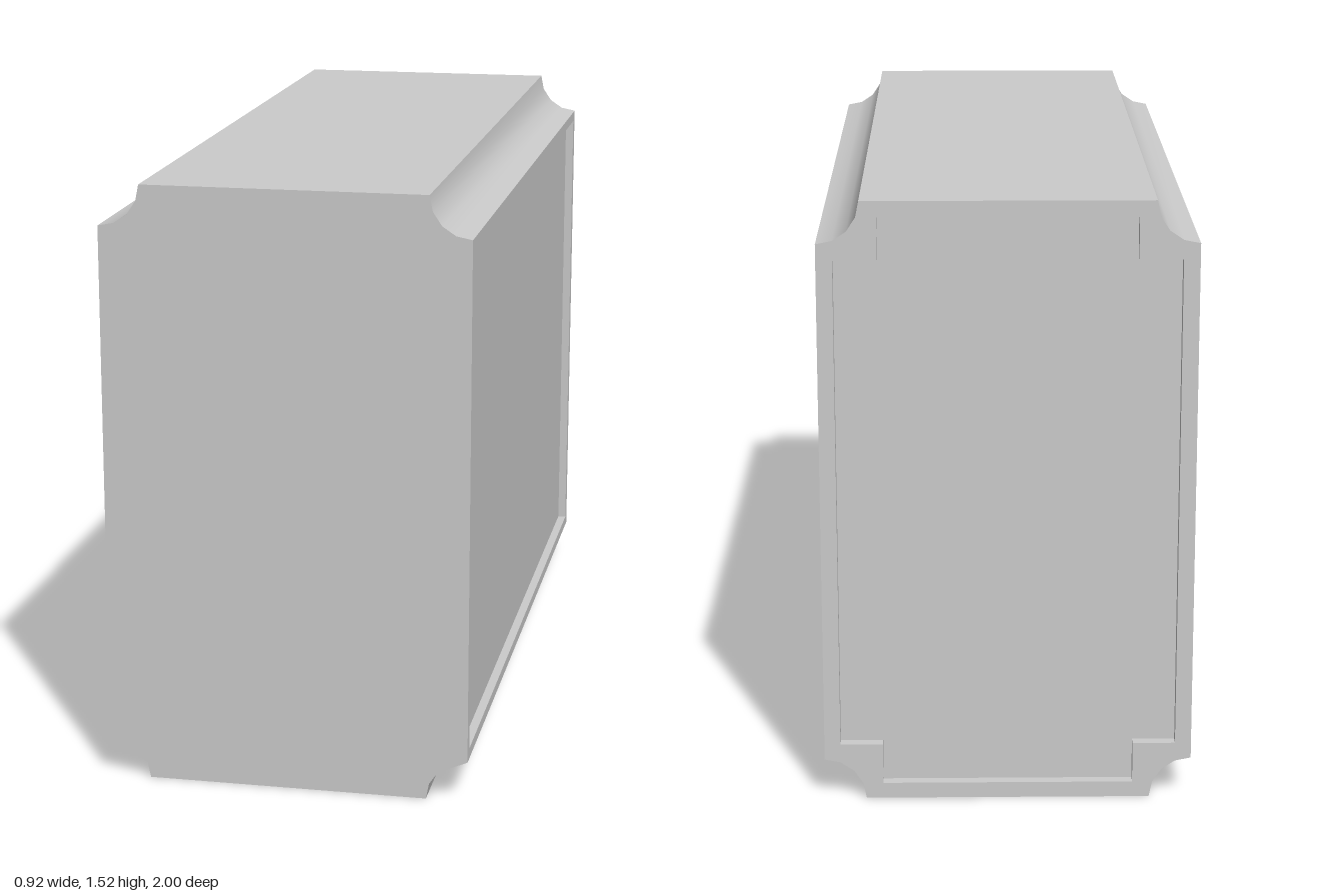
import * as THREE from 'three';

const W = 0.458, H = 1.525, L = 1, R = 0.104; // half width, height, half length, cove radius
const material = new THREE.MeshStandardMaterial({ color: 0xcccccc });

const centres = [[W, 0], [W, H], [-W, H], [-W, 0]]; // counter-clockwise from bottom right

// Concave quarter arc at corner i, sampled at fractions ts
function cove(i, ts) {
  const [cx, cy] = centres[i];
  return ts.map((t) => {
    const a = Math.PI - i * 1.5 * Math.PI - t * Math.PI / 2;
    return new THREE.Vector2(cx + R * Math.cos(a), cy + R * Math.sin(a));
  });
}

// Strip that carries a 2D path from z0 to z1
function strip(path, z0, z1, smooth) {
  const pos = [], index = [];
  path.forEach((p, i) => {
    pos.push(p.x, p.y, z0, p.x, p.y, z1);
    const k = i * 2;
    if (i < path.length - 1) index.push(k, k + 2, k + 3, k, k + 3, k + 1);
  });
  let g = new THREE.BufferGeometry();
  g.setAttribute('position', new THREE.Float32BufferAttribute(pos, 3));
  g.setIndex(index);
  if (!smooth) g = g.toNonIndexed();
  g.computeVertexNormals();
  return g;
}

function add(parent, name, geometry, z = 0) {
  const mesh = new THREE.Mesh(geometry, material);
  mesh.name = name;
  mesh.position.z = z;
  parent.add(mesh);
}

// Flat face with a sunken panel, facing local +z
function recessedFace(name, outline, opening, depth) {
  const g = new THREE.Group();
  g.name = name;
  const rim = new THREE.Shape(outline);
  rim.holes.push(new THREE.Path(opening));
  add(g, 'rim', new THREE.ShapeGeometry(rim));
  add(g, 'recessWalls', strip([...opening, opening[0]], 0, -depth, false));
  add(g, 'panel', new THREE.ShapeGeometry(new THREE.Shape(opening)), -depth);
  return g;
}

const rect = (hw, y0, y1) =>
  [[-hw, y0], [hw, y0], [hw, y1], [-hw, y1]].map(([x, y]) => new THREE.Vector2(x, y));

export function createModel() {
  const model = new THREE.Group();
  model.name = 'box';
  const steps = [0, 0.25, 0.5, 0.75, 1];
  const coves = centres.map((_, i) => cove(i, steps));

  // Coved long edges, top and bottom
  coves.forEach((c) => add(model, 'coveEdge', strip(c, -L, L, true)));
  add(model, 'top', strip([coves[1][4], coves[2][0]], -L, L, false));
  add(model, 'bottom', strip([coves[3][4], coves[0][0]], -L, L, false));

  // Plain front, its lower corners cut more coarsely
  const frontSteps = [[0, 0.25, 0.5, 1], steps, steps, [0, 0.75, 1]];
  const front = frontSteps.flatMap((ts, i) => cove(i, ts));
  add(model, 'front', new THREE.ShapeGeometry(new THREE.Shape(front)), L);

  // Long sides with rectangular recesses
  for (const s of [1, -1]) {
    const side = recessedFace(s > 0 ? 'leftSide' : 'rightSide',
      rect(L, R, H - R), rect(0.97, 0.131, H - 0.131), 0.022);
    side.rotation.y = s * Math.PI / 2;
    side.position.x = s * W;
    model.add(side);
  }

  // Back with a recess stepped square around each corner
  const rimW = 0.04, nx = 0.312, ny = 0.144, px = W - rimW;
  const opening = [
    [-nx, rimW], [nx, rimW], [nx, ny], [px, ny], [px, H - ny], [nx, H - ny],
    [nx, H - rimW], [-nx, H - rimW], [-nx, H - ny], [-px, H - ny], [-px, ny], [-nx, ny],
  ].map(([x, y]) => new THREE.Vector2(x, y));
  const back = recessedFace('back', coves.flat(), opening, 0.028);
  back.rotation.y = Math.PI;
  back.position.z = -L;
  model.add(back);

  return model;
}
